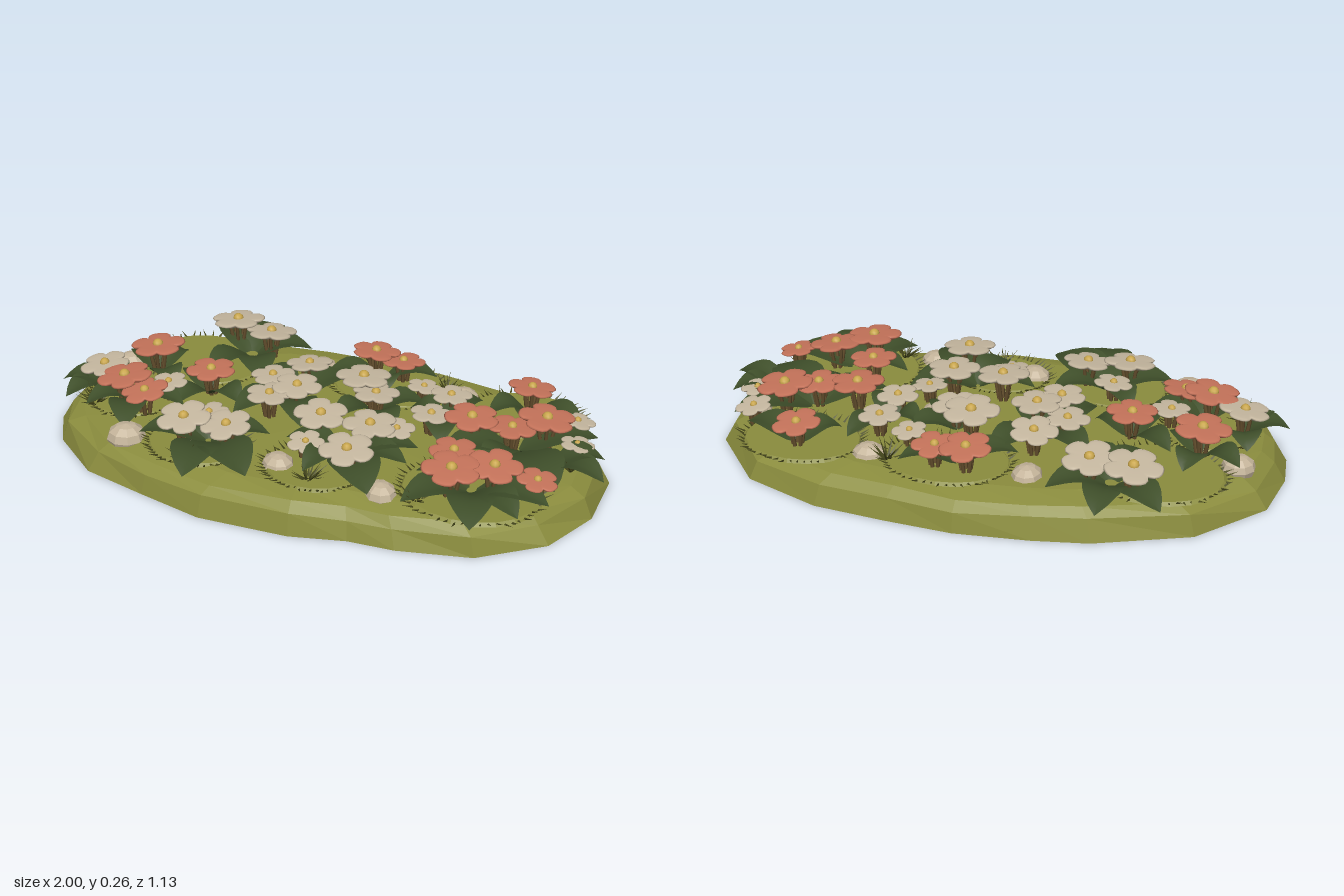
import * as THREE from 'three';

const mat = (name, color, extra = {}) => new THREE.MeshStandardMaterial({ name, color, ...extra });

function createRandom(seed) {
  return () => {
    seed = (seed * 16807) % 2147483647;
    return seed / 2147483647;
  };
}

function deform(geo, rule) {
  const p = geo.attributes.position;
  const v = new THREE.Vector3();
  for (let i = 0; i < p.count; i++) {
    rule(v.fromBufferAttribute(p, i));
    p.setXYZ(i, v.x, v.y, v.z);
  }
  geo.computeVertexNormals();
  return geo;
}

// Rough faceted slab of earth, built from rings of one outline
function moundGeometry(rand) {
  const outline = [
    [-1, 0.02], [-0.96, -0.18], [-0.75, -0.4], [-0.43, -0.52], [-0.24, -0.55], [0.02, -0.57], [0.26, -0.55],
    [0.51, -0.52], [0.78, -0.41], [0.96, -0.18], [0.965, 0.06], [0.88, 0.27], [0.68, 0.43], [0.43, 0.49],
    [0.27, 0.5], [0.08, 0.55], [-0.24, 0.565], [-0.48, 0.51], [-0.72, 0.45], [-0.91, 0.3], [-0.99, 0.16],
  ];
  const n = outline.length;
  const rings = [[0, 1, 0], [0.07, 0.965, 0.02], [0.105, 0.91, 0.012], [0.122, 0.78, 0.003]].map(([y, s, j]) =>
    outline.map(([x, z]) => {
      const k = s + (rand() - 0.5) * j * 1.5;
      return [x * k, y + (rand() - 0.5) * j, z * k];
    }));
  const pos = [];
  const tri = (...corners) => corners.forEach((c) => pos.push(...c));
  for (let i = 0; i < n; i++) {
    const j = (i + 1) % n;
    for (let r = 0; r < 3; r++) {
      const a = rings[r][i], b = rings[r][j], c = rings[r + 1][j], d = rings[r + 1][i];
      tri(a, d, c);
      tri(a, c, b);
    }
    tri([0, 0.125, 0], rings[3][j], rings[3][i]);
    tri([0, 0, 0], rings[0][i], rings[0][j]);
  }
  const geo = new THREE.BufferGeometry();
  geo.setAttribute('position', new THREE.Float32BufferAttribute(pos, 3));
  geo.computeVertexNormals();
  return geo;
}

export function createModel() {
  const rand = createRandom(71);
  const bed = new THREE.Group();
  bed.name = 'flowerBed';
  const moss = mat('moss green', 0x8b8d3e, { flatShading: true });
  const cream = mat('cream petal', 0xc6b8a0);
  const coral = mat('coral petal', 0xc5735a);
  const yellow = mat('pollen yellow', 0xc9a64c);
  const leafGreen = mat('leaf green', 0x3f4f2a, { side: THREE.DoubleSide });
  const stemBrown = mat('stem brown', 0x66502e);
  const stone = mat('pale stone', 0xc4b49a, { flatShading: true });
  const grassGreen = mat('grass green', 0x4a4c1e, { flatShading: true });

  const add = (parent, name, geo, material) => {
    const mesh = new THREE.Mesh(geo, material);
    mesh.name = name;
    parent.add(mesh);
    return mesh;
  };
  add(bed, 'mound', moundGeometry(rand), moss);

  // Five-lobed, slightly cupped blossom of radius 1
  const petalGeo = deform(new THREE.SphereGeometry(1, 40, 10), (v) => {
    const r = Math.hypot(v.x, v.z);
    const lobe = 1 - 0.3 * r * Math.pow(1 - Math.abs(Math.cos(2.5 * Math.atan2(v.z, v.x))), 2);
    const y = v.y * 0.13 + 0.07 * r * r - 0.05;
    v.set(v.x * lobe, y, v.z * lobe);
  });
  const centreGeo = new THREE.SphereGeometry(0.2, 10, 6);
  const stalkGeo = new THREE.CylinderGeometry(0.006, 0.008, 1, 5);

  function flower(x, z, r, material, name) {
    const g = new THREE.Group();
    g.name = name;
    g.position.set(x, 0, z);
    const h = 0.102 + 1.28 * r;
    const head = new THREE.Group();
    head.name = 'blossom';
    head.position.y = h;
    head.scale.setScalar(r);
    head.rotation.set(z * 0.35 + (rand() - 0.5) * 0.1, 0, -x * 0.12 + (rand() - 0.5) * 0.1);
    add(head, 'petals', petalGeo, material).rotation.y = rand() * 6;
    add(head, 'flowerCentre', centreGeo, yellow).position.y = 0.06;
    g.add(head);
    // Bundle of stalks that splays toward the blossom
    for (let i = 0; i < 5; i++) {
      const a = i * Math.PI * 0.4;
      const foot = new THREE.Vector3(Math.cos(a) * 0.012, 0.11, Math.sin(a) * 0.012);
      const top = new THREE.Vector3(Math.cos(a) * r * 0.35, h, Math.sin(a) * r * 0.35);
      const stalk = add(g, 'stalk', stalkGeo, stemBrown);
      stalk.position.lerpVectors(foot, top, 0.5);
      stalk.scale.y = foot.distanceTo(top);
      stalk.quaternion.setFromUnitVectors(new THREE.Vector3(0, 1, 0), top.sub(foot).normalize());
    }
    bed.add(g);
  }

  // Blossoms as x, z, radius
  const creamSpots = [
    [-0.39, -0.36, 0.095], [-0.54, -0.39, 0.1], [-0.17, -0.21, 0.085], [-0.26, -0.09, 0.08], [-0.14, -0.03, 0.09],
    [-0.21, 0.05, 0.085], [0.06, -0.16, 0.1], [0.13, -0.1, 0.085], [0.25, -0.26, 0.062], [0.37, -0.21, 0.075],
    [0.35, -0.06, 0.075], [0.02, 0.13, 0.095], [0.2, 0.13, 0.095], [0.19, 0.31, 0.095], [0.02, 0.26, 0.065],
    [-0.25, 0.31, 0.09], [-0.4, 0.33, 0.095], [-0.36, 0.22, 0.07], [-0.84, 0.09, 0.09], [-0.59, 0.08, 0.07],
    [0.82, -0.23, 0.065], [0.86, -0.09, 0.06], [0.27, 0.06, 0.065],
  ];
  const coralSpots = [
    [-0.72, -0.09, 0.1], [-0.47, -0.02, 0.09], [-0.72, 0.16, 0.1], [-0.62, 0.2, 0.085], [0.02, -0.38, 0.09],
    [0.13, -0.37, 0.08], [0.62, -0.35, 0.085], [0.74, -0.13, 0.1], [0.5, -0.05, 0.095], [0.64, -0.06, 0.085],
    [0.51, 0.16, 0.085], [0.67, 0.22, 0.095], [0.81, 0.2, 0.07], [0.55, 0.3, 0.1],
  ];
  creamSpots.forEach(([x, z, r]) => flower(x, z, r, cream, 'creamFlower'));
  coralSpots.forEach(([x, z, r]) => flower(x, z, r, coral, 'coralFlower'));

  // Pointed, arched leaf with a folded midrib, length 1 toward -z
  const leafGeo = deform(new THREE.PlaneGeometry(2, 1, 4, 8), (v) => {
    const t = v.y + 0.5, s = v.x;
    const w = 0.3 * Math.pow(Math.sin(Math.PI * Math.pow(t, 0.9)), 0.8) || 0;
    v.set(s * w, 0.055 * Math.sin(Math.PI * 0.85 * t) + 0.015 * Math.abs(s) * Math.sin(Math.PI * t), -t);
  });
  // Each plant: centre followed by its leaf tips
  const plants = [
    [[-0.46, -0.34], [-0.65, -0.5], [-0.45, -0.57], [-0.26, -0.44], [-0.54, -0.13], [-0.33, -0.14]],
    [[-0.18, -0.09], [-0.36, -0.22], [-0.03, -0.28], [-0.32, 0.12], [-0.06, 0.12]],
    [[0.06, -0.34], [-0.13, -0.26], [0.25, -0.4], [0.12, -0.22]],
    [[0.12, -0.12], [0.28, -0.2], [0.24, 0.03], [0.02, 0.02]],
    [[0.36, -0.13], [0.46, -0.3], [0.42, 0.04], [0.24, -0.15]],
    [[0.62, -0.33], [0.5, -0.23], [0.83, -0.27], [0.68, -0.17]],
    [[0.66, -0.07], [0.9, -0.22], [0.86, 0.17], [0.43, 0.08], [0.6, 0.13]],
    [[0.8, 0.0], [0.995, 0.06], [0.96, -0.08]],
    [[0.6, 0.24], [0.68, 0.49], [0.8, 0.37], [0.42, 0.42], [0.4, 0.22], [0.87, 0.26]],
    [[0.13, 0.2], [0.31, 0.43], [0.36, 0.2], [-0.08, 0.2], [0.06, 0.38], [0.36, 0.09]],
    [[-0.33, 0.29], [-0.29, 0.565], [-0.1, 0.48], [-0.56, 0.36], [-0.14, 0.2], [-0.44, 0.13]],
    [[-0.7, 0.14], [-0.62, 0.36], [-0.82, 0.27], [-0.5, 0.14]],
    [[-0.83, 0.09], [-0.995, 0.13], [-0.92, 0.24], [-0.87, -0.06]],
    [[-0.47, -0.02], [-0.62, -0.12], [-0.33, 0.04], [-0.54, 0.14]],
    [[-0.72, -0.09], [-0.86, -0.17], [-0.68, -0.24], [-0.6, 0.02]],
  ];
  plants.forEach(([[cx, cz], ...tips]) => {
    const plant = new THREE.Group();
    plant.name = 'leafCluster';
    plant.position.set(cx, 0.115 + rand() * 0.012, cz);
    tips.forEach(([tx, tz]) => {
      const dx = tx - cx, dz = tz - cz, len = Math.hypot(dx, dz);
      const leaf = add(plant, 'leaf', leafGeo, leafGreen);
      leaf.scale.set(Math.max(len, 0.2), 1, len);
      leaf.rotation.y = Math.atan2(-dx, -dz);
    });
    bed.add(plant);
  });

  // Half-buried rounded stones
  const stoneGeo = new THREE.SphereGeometry(1, 9, 6);
  [[-0.61, 0.36, 0.07], [-0.18, -0.35, 0.06], [0.37, -0.34, 0.06], [-0.85, -0.12, 0.06], [-0.05, 0.33, 0.062],
    [0.33, 0.36, 0.06], [0.85, -0.12, 0.055], [0.22, -0.02, 0.06]].forEach(([x, z, r]) => {
    const rock = add(bed, 'stone', stoneGeo, stone);
    rock.position.set(x, 0.115, z);
    rock.scale.set(r, r * 0.75, r * 0.9);
    rock.rotation.y = rand() * 6;
  });

  // Low moss patches fringed with short blades of grass
  const patchGeo = new THREE.CylinderGeometry(0.95, 1, 0.012, 20);
  const bladeGeo = new THREE.ConeGeometry(0.0045, 0.05, 3).translate(0, 0.025, 0);
  [[-0.6, -0.24, 0.23, 0.19], [0.1, -0.32, 0.22, 0.16], [0.62, -0.3, 0.21, 0.16], [0.6, 0.24, 0.24, 0.2],
    [0.07, 0.31, 0.17, 0.14], [-0.36, 0.31, 0.18, 0.15], [-0.72, 0.1, 0.16, 0.16]].forEach(([x, z, rx, rz]) => {
    const patch = new THREE.Group();
    patch.name = 'mossPatch';
    patch.position.set(x, 0.122, z);
    add(patch, 'moss', patchGeo, moss).scale.set(rx, 1, rz);
    for (let i = 0; i < 54; i++) {
      const a = (i / 54) * Math.PI * 2, k = 0.93 + rand() * 0.07;
      const blade = add(patch, 'grassBlade', bladeGeo, grassGreen);
      blade.position.set(Math.cos(a) * rx * k, 0, Math.sin(a) * rz * k);
      blade.rotation.set(0, -a + (rand() - 0.5), -1.0 - rand() * 0.3);
      blade.scale.y = 0.5 + rand() * 0.4;
    }
    bed.add(patch);
  });

  // Taller grass tufts
  [[0.08, 0.38], [-0.36, 0.41], [0.45, 0.36], [-0.82, 0.2], [0.3, -0.36], [0.86, -0.02]].forEach(([x, z]) => {
    const tuft = new THREE.Group();
    tuft.name = 'grassTuft';
    tuft.position.set(x, 0.115, z);
    for (let i = 0; i < 22; i++) {
      const blade = add(tuft, 'grassBlade', bladeGeo, grassGreen);
      blade.rotation.set(0, i * 2.4, -0.5 - rand() * 0.7);
      blade.scale.set(1.3, 1 + rand() * 0.9, 1.3);
    }
    bed.add(tuft);
  });
  return bed;
}
